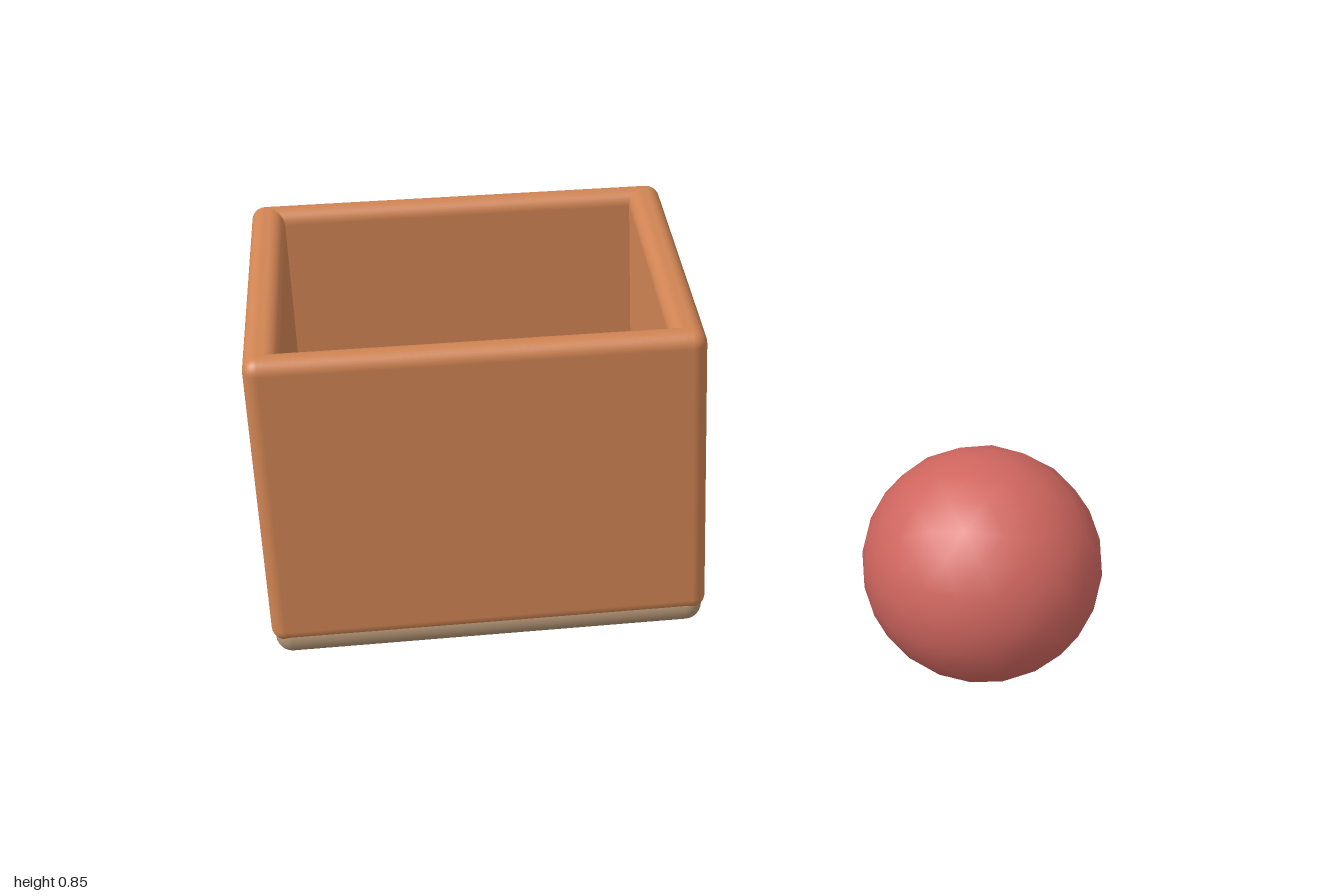
import * as THREE from 'three';
import { RoundedBoxGeometry } from 'three/addons/geometries/RoundedBoxGeometry.js';

export function createModel() {
  const model = new THREE.Group();
  const wallMat = new THREE.MeshStandardMaterial({ color: 0xd08453 });
  const floorMat = new THREE.MeshStandardMaterial({ color: 0xb39474 });
  const ballMat = new THREE.MeshStandardMaterial({ color: 0xd0665f });

  const add = (parent, name, geometry, material, x, y, z) => {
    const mesh = new THREE.Mesh(geometry, material);
    mesh.name = name;
    mesh.position.set(x, y, z);
    parent.add(mesh);
    return mesh;
  };

  // open box: four overlapping rounded walls on a rounded floor slab
  const box = new THREE.Group();
  box.name = 'openBox';
  box.position.set(-0.462, 0, -0.243);
  model.add(box);

  const W = 1.075, D = 0.905, bottom = 0.07, top = 0.85;
  const H = top - bottom, midY = (top + bottom) / 2;
  const tx = 0.085, tz = 0.073, r = 0.035;
  for (const s of [-1, 1]) {
    add(box, s > 0 ? 'leftWall' : 'rightWall',
      new RoundedBoxGeometry(tx, H, D, 4, r), wallMat, s * (W - tx) / 2, midY, 0);
    add(box, s > 0 ? 'frontWall' : 'backWall',
      new RoundedBoxGeometry(W, H, tz, 4, r), wallMat, 0, midY, s * (D - tz) / 2);
  }
  add(box, 'floor', new RoundedBoxGeometry(1.06, 0.085, D - 0.005, 4, 0.042),
    floorMat, 0, 0.0725, 0);

  // ball, turned so that one of its corners points straight up
  const ballGeo = new THREE.IcosahedronGeometry(0.287, 3);
  ballGeo.rotateZ(-Math.atan(2 / (1 + Math.sqrt(5))));
  add(model, 'ball', ballGeo, ballMat, 0.713, 0.287, 0.41);

  return model;
}
